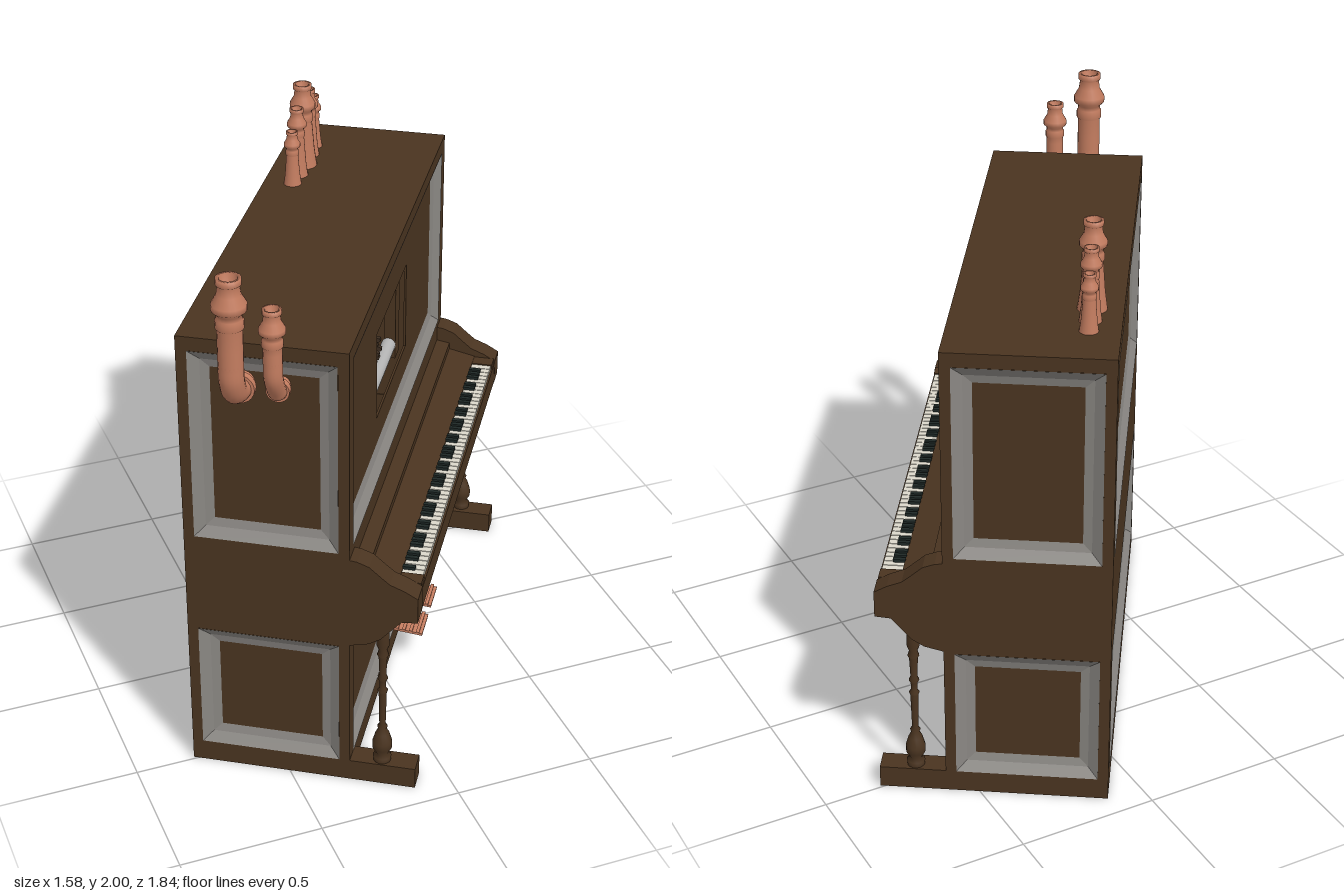
import * as THREE from 'three';
import { mergeGeometries } from 'three/addons/utils/BufferGeometryUtils.js';

const mat = (name, color, side = THREE.FrontSide) => {
  const m = new THREE.MeshStandardMaterial({ color, side });
  m.name = name;
  return m;
};

export function createModel() {
  const wood = mat('brown wood', 0x4a3420);
  const grey = mat('grey moulding', 0x8a8783, THREE.DoubleSide);
  const copper = mat('copper', 0xc47d60, THREE.DoubleSide);
  const roll = mat('pale roller', 0xb4b4b4);
  const ivory = mat('ivory', 0xdcd8cb);
  const ebony = mat('ebony', 0x1e2826);
  const iron = mat('dark gear metal', 0x3a2c20);

  const model = new THREE.Group();
  const piano = new THREE.Group();
  piano.name = 'piano';
  piano.rotation.y = 0.993; // stands turned on its base
  model.add(piano);

  const add = (name, geo, m, parent = piano) => {
    const mesh = new THREE.Mesh(geo, m);
    mesh.name = name;
    parent.add(mesh);
    return mesh;
  };
  // box from its minimum and maximum corners
  const block = (x0, x1, y0, y1, z0, z1) =>
    new THREE.BoxGeometry(x1 - x0, y1 - y0, z1 - z0).translate((x0 + x1) / 2, (y0 + y1) / 2, (z0 + z1) / 2);
  const rect = (C, x0, x1, y0, y1) => {
    const s = new C();
    s.moveTo(x0, y0); s.lineTo(x1, y0); s.lineTo(x1, y1); s.lineTo(x0, y1); s.closePath();
    return s;
  };
  const plate = (shape, depth) => new THREE.ExtrudeGeometry(shape, { depth, bevelEnabled: false, curveSegments: 8 });
  // extrude a profile drawn in (z, y) along x, from x0 to x0 + t
  const sideProfile = (pts, x0, t) =>
    plate(new THREE.Shape(pts.map((p) => new THREE.Vector2(...p))), t).rotateY(-Math.PI / 2).translate(x0 + t, 0, 0);

  const H = 1.69, W = 0.842, FRONT = 0.165, BACK = -0.394;
  const rows = [[0.08, 0.565], [0.94, 1.64]];

  // mitred moulding sinking into a panel opening
  const section = [[0, -0.001], [0.035, 0.022], [0.065, 0.03]];
  function moulding(hw, y0, y1) {
    const ring = section.map(([i, d]) => [
      [-hw + i, y0 + i, -d], [hw - i, y0 + i, -d], [hw - i, y1 - i, -d], [-hw + i, y1 - i, -d]]);
    const pos = [];
    for (let s = 0; s < section.length - 1; s++)
      for (let k = 0; k < 4; k++) {
        const n = (k + 1) % 4, a = ring[s][k], b = ring[s][n], c = ring[s + 1][n], d = ring[s + 1][k];
        pos.push(...a, ...b, ...c, ...a, ...c, ...d);
      }
    const g = new THREE.BufferGeometry();
    g.setAttribute('position', new THREE.Float32BufferAttribute(pos, 3));
    g.computeVertexNormals();
    return g;
  }

  // one wall of the cabinet: pierced frame, mouldings and sunken panels
  function wall(name, halfWidth, panelHalf, hasWindow) {
    const g = new THREE.Group();
    g.name = name;
    const frame = rect(THREE.Shape, -halfWidth, halfWidth, 0, H);
    rows.forEach(([y0, y1], i) => {
      frame.holes.push(rect(THREE.Path, -panelHalf, panelHalf, y0, y1));
      const panel = rect(THREE.Shape, -panelHalf, panelHalf, y0, y1);
      if (hasWindow && i === 1) panel.holes.push(rect(THREE.Path, -0.26, 0.26, 1.11, 1.44));
      add('panel', plate(panel, 0.008).translate(0, 0, -0.038), wood, g);
      add('moulding', moulding(panelHalf, y0, y1), grey, g);
    });
    add('wallFrame', plate(frame, 0.034).translate(0, 0, -0.034), wood, g);
    piano.add(g);
    return g;
  }
  const midZ = (FRONT + BACK) / 2, halfD = (FRONT - BACK) / 2;
  wall('frontWall', W, 0.782, true).position.z = FRONT;
  const back = wall('backWall', W, 0.782, false);
  back.position.z = BACK;
  back.rotation.y = Math.PI;
  for (const s of [-1, 1]) {
    const side = wall(s > 0 ? 'leftWall' : 'rightWall', halfD, 0.243, false);
    side.position.set(s * W, 0, midZ);
    side.rotation.y = s * Math.PI / 2;
  }
  add('lid', block(-W, W, H - 0.03, H, BACK, FRONT), wood);
  add('floor', block(-W, W, 0, 0.03, BACK, FRONT), wood);

  // roll mechanism behind the window
  add('mechanismBack', block(-0.4, 0.4, 1.0, 1.55, -0.12, -0.1), wood);
  for (const s of [-1, 1]) add('windowPost', block(s * 0.23 - 0.035, s * 0.23 + 0.035, 1.09, 1.46, 0.07, 0.11), wood);
  const rod = (r, len) => new THREE.CylinderGeometry(r, r, len, 20);
  for (const y of [1.145, 1.385]) add('paperRoller', rod(0.026, 0.39).rotateZ(Math.PI / 2).translate(0, y, 0.085), roll);
  add('uprightDrum', rod(0.036, 0.42).translate(0.16, 1.275, -0.06), roll);
  add('axle', rod(0.02, 0.3).rotateZ(Math.PI / 2).translate(0, 1.3, 0), roll);
  function gear(r, teeth) {
    const pts = [];
    for (let i = 0; i < teeth * 4; i++) {
      const a = (i / (teeth * 4)) * Math.PI * 2, q = i % 4 < 2 ? r : r * 0.87;
      pts.push(new THREE.Vector2(Math.cos(a) * q, Math.sin(a) * q));
    }
    const s = new THREE.Shape(pts);
    s.holes.push(new THREE.Path().absarc(0, 0, r * 0.6, 0, Math.PI * 2, true));
    return mergeGeometries([plate(s, 0.016), block(-r * 0.7, r * 0.7, -0.012, 0.012, 0.002, 0.014),
      block(-0.012, 0.012, -r * 0.7, r * 0.7, 0.002, 0.014)].map((g) => g.index ? g.toNonIndexed() : g)).rotateY(Math.PI / 2);
  }
  for (const [x, y, z, r, n] of [[-0.11, 1.3, 0, 0.12, 20], [-0.15, 1.3, 0.02, 0.1, 16], [-0.19, 1.22, 0.02, 0.085, 14]])
    add('gear', gear(r, n).translate(x, y, z), iron);

  // key cheeks, feet and turned legs
  const cheek = [[0.15, 0.92], [0.19, 0.915], [0.23, 0.9], [0.27, 0.865], [0.3, 0.84], [0.35, 0.82], [0.394, 0.795],
    [0.394, 0.7], [0.34, 0.695], [0.3, 0.65], [0.27, 0.615], [0.23, 0.59], [0.15, 0.57]].reverse();
  const legProfile = [[0.03, 0.08], [0.032, 0.1], [0.02, 0.11], [0.034, 0.135], [0.034, 0.16], [0.024, 0.195], [0.014, 0.215],
    [0.018, 0.225], [0.011, 0.235], [0.014, 0.37], [0.018, 0.38], [0.011, 0.39], [0.012, 0.42], [0.018, 0.43], [0.012, 0.445],
    [0.015, 0.52], [0.02, 0.53], [0.014, 0.55], [0.022, 0.57], [0.022, 0.63]].map((p) => new THREE.Vector2(...p));
  for (const s of [-1, 1]) {
    const x0 = s > 0 ? W - 0.08 : -W;
    add('keyCheek', sideProfile(cheek, x0, 0.08), wood);
    add('foot', block(x0, x0 + 0.08, 0, 0.08, FRONT - 0.02, 0.394), wood);
    add('leg', new THREE.LatheGeometry(legProfile, 14).translate(s * 0.808, 0, 0.272), wood);
    add('keyEndBlock', block(s * 0.737 - 0.026, s * 0.737 + 0.026, 0.78, 0.805, 0.3, 0.39), wood);
  }

  // keybed, fallboard and keyboard
  add('keybed', block(-0.765, 0.765, 0.7, 0.785, 0.15, 0.393), wood);
  add('fallboard', sideProfile([[0.15, 0.78], [0.314, 0.78], [0.314, 0.808], [0.215, 0.83], [0.215, 0.855], [0.15, 0.865]], -0.765, 1.53), wood);
  const whites = [], blacks = [], pitch = 1.42 / 52;
  for (let i = 0; i < 52; i++) {
    const x = -0.71 + i * pitch;
    whites.push(block(x + 0.0015, x + pitch - 0.0015, 0.78, 0.802, 0.312, 0.386));
    // sharps sit after A, C, D, F and G
    if (i < 51 && [0, 2, 3, 5, 6].includes(i % 7))
      blacks.push(block(x + pitch - 0.008, x + pitch + 0.008, 0.8, 0.813, 0.312, 0.355));
  }
  add('whiteKeys', mergeGeometries(whites), ivory);
  add('blackKeys', mergeGeometries(blacks), ebony);

  // treadle pedals with ribs and paired brackets
  for (const s of [-1, 1]) {
    const pedal = new THREE.Group();
    pedal.name = 'pedal';
    pedal.position.set(s * 0.09, 0.148, 0.15);
    pedal.rotation.x = 0.1;
    piano.add(pedal);
    add('pedalPlate', block(-0.062, 0.062, -0.006, 0.003, 0, 0.14), copper, pedal);
    for (let i = 0; i < 5; i++) add('pedalRib', block(-0.066, 0.066, 0, 0.009, 0.012 + i * 0.026, 0.024 + i * 0.026), copper, pedal);
    for (const d of [-0.025, 0.025]) {
      add('pedalBracket', block(s * 0.09 + d - 0.012, s * 0.09 + d + 0.012, 0.15, 0.22, 0.13, 0.158), grey);
      add('pedalArm', block(s * 0.09 + d - 0.006, s * 0.09 + d + 0.006, 0.14, 0.17, 0.13, 0.19), grey);
    }
  }

  // flared stack of radius r from base to top
  function stack(name, x, z, base, top, r, flare) {
    const u = r / 0.04;
    const pts = [[r * flare, base], [r * (1 + flare) / 2, base + (top - base) * 0.2], [r, top - 0.17 * u],
      [r * 1.12, top - 0.165 * u], [r * 1.12, top - 0.14 * u], [r, top - 0.135 * u], [r, top - 0.12 * u],
      [r * 1.38, top - 0.105 * u], [r * 1.38, top - 0.085 * u], [r * 0.95, top - 0.055 * u], [r * 0.85, top - 0.025 * u],
      [r * 1.0, top - 0.02 * u], [r * 1.0, top], [r * 0.7, top], [r * 0.65, top - 0.06 * u], [0, top - 0.06 * u]]
      .map((p) => new THREE.Vector2(...p));
    add(name, new THREE.LatheGeometry(pts, 20).translate(x, 0, z), copper);
  }
  for (const [dx, top, r] of [[0, 2, 0.033], [0.09, 1.945, 0.025], [-0.09, 1.945, 0.025], [0.165, 1.89, 0.021], [-0.165, 1.89, 0.021]])
    stack('topPipe', 0.482 + dx, -0.29, H, top, r, 1.5);

  // elbow pipes leaving the right side
  for (const [x, z, y, top, r] of [[-0.944, -0.185, 1.535, 1.97, 0.041], [-0.912, -0.06, 1.54, 1.86, 0.031]]) {
    const path = new THREE.CatmullRomCurve3([[-0.8, y], [-0.86, y], [x + 0.035, y + 0.02], [x + 0.004, y + 0.075], [x, y + 0.14]]
      .map(([a, b]) => new THREE.Vector3(a, b, z)));
    add('pipeElbow', new THREE.TubeGeometry(path, 20, r, 18), copper);
    add('pipeFlange', rod(r * 1.25, 0.025).rotateZ(Math.PI / 2).translate(-W - 0.008, y, z), copper);
    stack('sidePipe', x, z, y + 0.13, top, r, 1);
  }
  return model;
}
